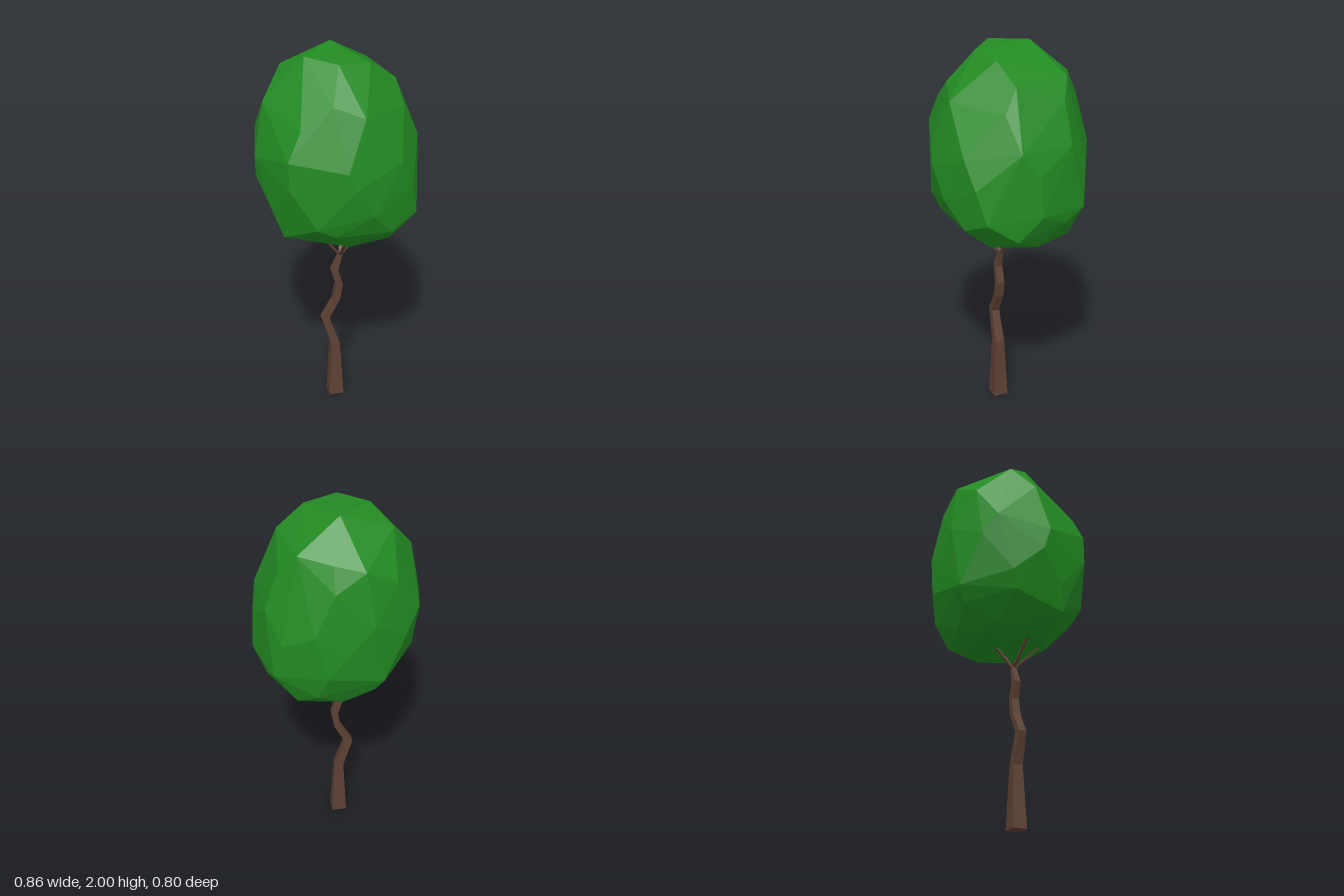
import * as THREE from 'three';
import { ConvexGeometry } from 'three/addons/geometries/ConvexGeometry.js';

// Square-section limb lofted through [x, y, z, width x, width z] stations
function loft(stations) {
  const rings = stations.map(([x, y, z, wx, wz]) =>
    [[-1, 1], [1, 1], [1, -1], [-1, -1]].map(([sx, sz]) => [x + sx * wx / 2, y, z + sz * wz / 2]));
  const pos = [];
  const quad = (a, b, c, d) => pos.push(...a, ...b, ...c, ...a, ...c, ...d);
  for (let i = 0; i < rings.length - 1; i++) {
    const lo = rings[i], hi = rings[i + 1];
    for (let k = 0; k < 4; k++) {
      const n = (k + 1) % 4;
      quad(lo[k], lo[n], hi[n], hi[k]);
    }
  }
  const first = rings[0], last = rings[rings.length - 1];
  quad(first[3], first[2], first[1], first[0]);
  quad(...last);
  const geo = new THREE.BufferGeometry();
  geo.setAttribute('position', new THREE.Float32BufferAttribute(pos, 3));
  geo.computeVertexNormals();
  return geo;
}

// Faceted crown: irregular top corners plus staggered rings below
function crownGeometry() {
  const points = [
    [0, 2, -0.13], [-0.03, 1.97, 0.15], [0.14, 1.95, 0.11], [0.28, 1.85, 0.07],
    [0.22, 1.86, -0.23], [0.06, 1.84, -0.31], [-0.09, 1.81, -0.35],
    [-0.26, 1.91, -0.11], [-0.17, 1.98, 0.02], [-0.09, 1.81, 0.28],
  ].map(p => new THREE.Vector3(...p));
  // [y, xMin, xMax, zMin, zMax, corners, turn]
  const rings = [
    [1.73, -0.37, 0.33, -0.37, 0.33, 7, 0.5],
    [1.52, -0.43, 0.405, -0.405, 0.39, 9, 0.35],
    [1.40, -0.42, 0.42, -0.40, 0.40, 8, 0.0],
    [1.22, -0.38, 0.43, -0.40, 0.38, 9, 0.0],
    [1.12, -0.345, 0.40, -0.35, 0.34, 8, 0.4],
    [1.02, -0.19, 0.32, -0.29, 0.23, 7, 0.0],
    [0.98, -0.02, 0.22, -0.21, 0.03, 5, 0.3],
  ];
  rings.forEach(([y, x0, x1, z0, z1, n, turn], r) => {
    for (let i = 0; i < n; i++) {
      const a = (i + turn) / n * Math.PI * 2;
      const c = Math.cos(a), s = Math.sin(a);
      const bulge = 1 + 0.05 * Math.sin(2 * a) ** 2;
      const lift = r < 5 ? 0.035 * Math.sin(i * 2.4 + r) : 0;
      points.push(new THREE.Vector3(
        (x0 + x1) / 2 + c * (x1 - x0) / 2 * bulge,
        y + lift,
        (z0 + z1) / 2 + s * (z1 - z0) / 2 * bulge));
    }
  });
  return new ConvexGeometry(points);
}

export function createModel() {
  const tree = new THREE.Group();
  tree.name = 'tree';
  const bark = new THREE.MeshStandardMaterial({ color: 0x5c4033, flatShading: true });
  const leaf = new THREE.MeshStandardMaterial({ color: 0x228b22, flatShading: true });
  const add = (name, geo, mat) => {
    const mesh = new THREE.Mesh(geo, mat);
    mesh.name = name;
    tree.add(mesh);
  };

  // Crooked tapering trunk
  add('trunk', loft([
    [-0.02, 0, 0.036, 0.08, 0.078],
    [-0.022, 0.33, 0.035, 0.046, 0.052],
    [-0.075, 0.495, 0.035, 0.042, 0.042],
    [-0.013, 0.61, 0.035, 0.036, 0.042],
    [0.002, 0.695, 0.035, 0.036, 0.04],
    [-0.024, 0.785, 0.035, 0.037, 0.036],
    [0.01, 0.88, 0.035, 0.022, 0.022],
  ]), bark);

  // Thin branches fanning into the crown
  [[-0.09, 0.06], [0, 0.16], [0.12, 0.03], [0.035, -0.06]].forEach(([x, z]) => {
    const fork = [0.01, 0.87, 0.035];
    const end = [fork[0] + (x - fork[0]) * 1.4, 1.05, fork[2] + (z - fork[2]) * 1.4];
    add('branch', loft([[...fork, 0.016, 0.016], [...end, 0.012, 0.012]]), bark);
  });

  add('crown', crownGeometry(), leaf);
  return tree;
}
